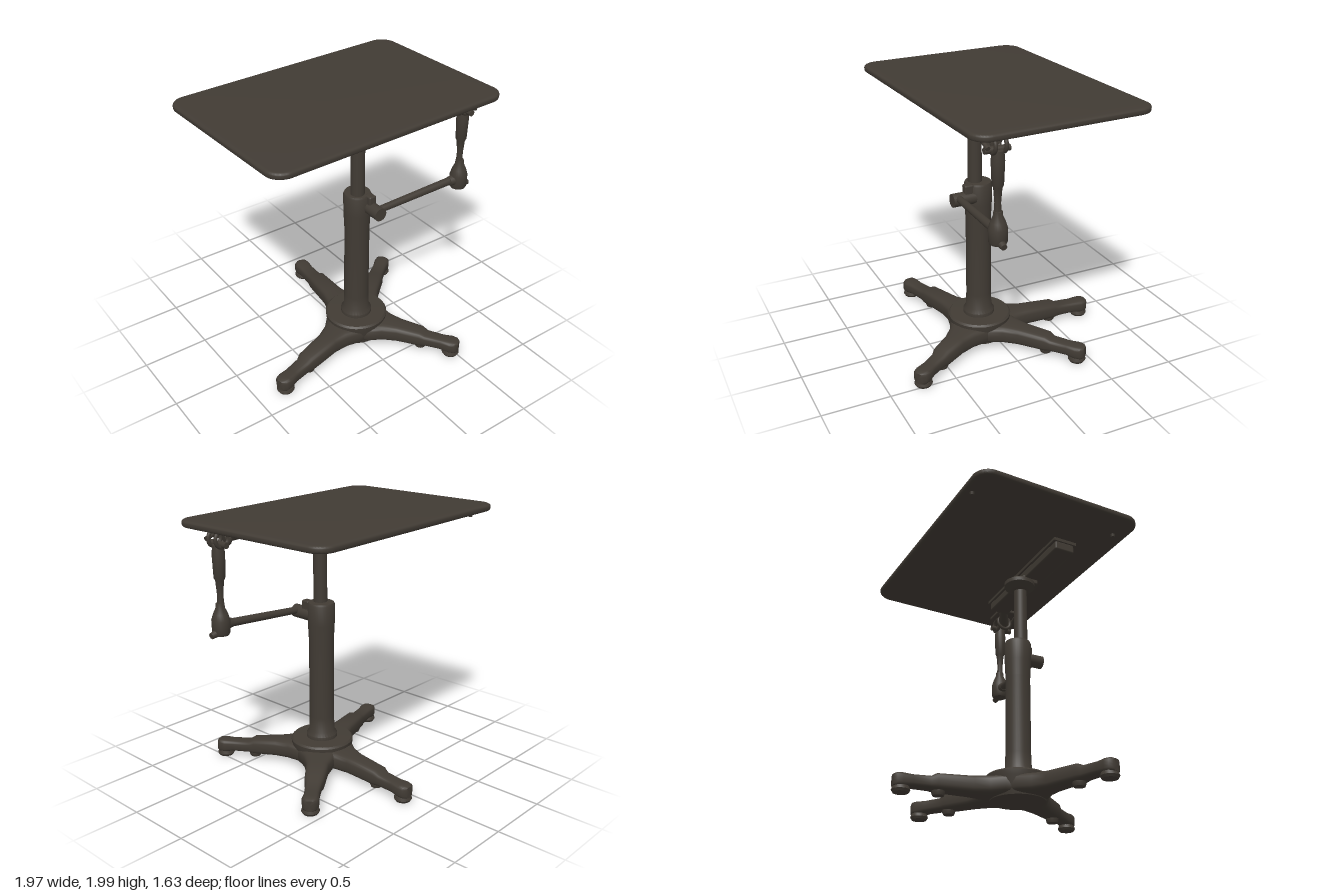
import * as THREE from 'three';
import { toCreasedNormals } from 'three/addons/utils/BufferGeometryUtils.js';
import { RoundedBoxGeometry } from 'three/addons/geometries/RoundedBoxGeometry.js';

const iron = new THREE.MeshStandardMaterial({ color: 0x413b34 });
iron.name = 'dark bronze iron';

const V = (x, y, z) => new THREE.Vector3(x, y, z);

function add(parent, name, geometry, x = 0, y = 0, z = 0) {
  const mesh = new THREE.Mesh(geometry, iron);
  mesh.name = name;
  mesh.position.set(x, y, z);
  parent.add(mesh);
  return mesh;
}

// Turned part from [radius, y] pairs, bottom to top
function turned(points, segments = 32) {
  const geo = new THREE.LatheGeometry(points.map(([r, y]) => new THREE.Vector2(r, y)), segments);
  return toCreasedNormals(geo, 0.6);
}

// Round bar between two points
function bar(parent, name, a, b, ra, rb = ra) {
  const dir = b.clone().sub(a);
  const mesh = add(parent, name, new THREE.CylinderGeometry(rb, ra, dir.length(), 20));
  mesh.position.copy(a).add(b).multiplyScalar(0.5);
  mesh.quaternion.setFromUnitVectors(V(0, 1, 0), dir.normalize());
  return mesh;
}

// Soft-cornered loft along +x; each section is [distance, width, bottom, top]
function loft(sections, n = 24) {
  const pos = [], idx = [];
  const soft = (t) => Math.sign(t) * Math.pow(Math.abs(t), 0.55);
  for (const [d, w, lo, hi] of sections) {
    for (let j = 0; j < n; j++) {
      const a = (j / n) * Math.PI * 2;
      pos.push(d, (lo + hi) / 2 + soft(Math.sin(a)) * (hi - lo) / 2, soft(Math.cos(a)) * w / 2);
    }
  }
  for (let i = 0; i < sections.length - 1; i++) {
    for (let j = 0; j < n; j++) {
      const k = (j + 1) % n, a = i * n + j, b = a + n, c = i * n + k, e = c + n;
      idx.push(a, b, c, b, e, c);
    }
  }
  [0, sections.length - 1].forEach((i) => {
    const [d, , lo, hi] = sections[i], centre = pos.length / 3;
    pos.push(d, (lo + hi) / 2, 0);
    for (let j = 0; j < n; j++) {
      const a = i * n + j, b = i * n + (j + 1) % n;
      if (i === 0) idx.push(centre, a, b); else idx.push(centre, b, a);
    }
  });
  const geo = new THREE.BufferGeometry();
  geo.setAttribute('position', new THREE.Float32BufferAttribute(pos, 3));
  geo.setIndex(idx);
  return toCreasedNormals(geo, 0.8);
}

function tabletop() {
  const w = 0.945, h = 0.64, r = 0.1, s = new THREE.Shape();
  s.moveTo(-w + r, -h);
  s.lineTo(w - r, -h);
  s.absarc(w - r, -h + r, r, -Math.PI / 2, 0);
  s.absarc(w - r, h - r, r, 0, Math.PI / 2);
  s.absarc(-w + r, h - r, r, Math.PI / 2, Math.PI);
  s.absarc(-w + r, -h + r, r, Math.PI, Math.PI * 1.5);
  const geo = new THREE.ExtrudeGeometry(s, {
    depth: 0.016, bevelThickness: 0.017, bevelSize: 0.024, bevelSegments: 4, curveSegments: 10,
  });
  geo.rotateX(-Math.PI / 2);
  return toCreasedNormals(geo, 0.7);
}

function createModel() {
  const model = new THREE.Group();
  model.name = 'adjustableTable';
  const cx = 0.04, cz = 0.095;

  // Four-legged foot: legs radiate unevenly from the column
  const base = new THREE.Group();
  base.name = 'base';
  base.position.set(cx, 0, cz);
  model.add(base);
  const feet = [[-0.78, 0.34], [0.68, -0.4], [0.1, -0.76], [0.47, 0.74]];
  for (const [fx, fz] of feet) {
    const dx = fx - cx, dz = fz - cz, len = Math.hypot(dx, dz);
    const leg = new THREE.Group();
    leg.name = 'leg';
    leg.rotation.y = Math.atan2(-dz, dx);
    base.add(leg);
    add(leg, 'legArm', loft([
      [0, 0.4, 0.05, 0.2], [0.16, 0.34, 0.05, 0.198], [0.25, 0.23, 0.05, 0.19],
      [0.36, 0.17, 0.05, 0.182], [len - 0.24, 0.145, 0.05, 0.17], [len - 0.2, 0.12, 0.055, 0.147],
      [len - 0.07, 0.11, 0.055, 0.143], [len, 0.125, 0.045, 0.147],
      [len + 0.04, 0.11, 0.045, 0.145], [len + 0.06, 0.06, 0.05, 0.135],
    ]));
    add(leg, 'footPad', turned([[0, 0.01], [0.055, 0.012], [0.066, 0.03], [0.058, 0.055], [0, 0.06]], 20), len);
    add(leg, 'legStud', turned([[0, 0.018], [0.04, 0.02], [0.048, 0.04], [0.048, 0.07]], 16), len * 0.69);
  }
  add(base, 'hub', turned([[0, 0.045], [0.2, 0.045], [0.235, 0.18], [0.238, 0.215], [0.225, 0.228], [0, 0.23]], 40));

  // Column, collar and telescoping inner post
  add(model, 'column', turned([
    [0, 0.22], [0.118, 0.225], [0.118, 0.255], [0.098, 0.285], [0.094, 0.4], [0.093, 1.0],
    [0.1, 1.14], [0.102, 1.29], [0.095, 1.305], [0, 1.306],
  ]), cx - 0.003, 0, cz + 0.005);
  add(model, 'innerPost', new THREE.CylinderGeometry(0.05, 0.052, 0.54, 28), 0.025, 1.54, 0.12);
  add(model, 'postHead', turned([
    [0.05, 1.755], [0.075, 1.765], [0.1, 1.785], [0.12, 1.8], [0.12, 1.83], [0.1, 1.845], [0, 1.846],
  ]), 0.03, 0, 0.115);
  add(model, 'headBlock', new RoundedBoxGeometry(0.14, 0.06, 0.13, 2, 0.012), 0.03, 1.855, 0.18);

  // Tabletop and its supporting rail
  add(model, 'tabletop', tabletop(), -0.005, 1.967, -0.075).rotation.y = 0.035;
  add(model, 'rail', new RoundedBoxGeometry(1.08, 0.07, 0.16, 2, 0.012), 0.03, 1.895, 0.21).rotation.y = 0.02;
  add(model, 'railFlange', new THREE.BoxGeometry(1.1, 0.025, 0.19), 0.03, 1.938, 0.21).rotation.y = 0.02;
  for (const [x, z] of [[-0.74, -0.65], [-0.74, 0.5], [0.72, 0.5]]) {
    add(model, 'tableStud', new THREE.CylinderGeometry(0.02, 0.014, 0.03, 12), x, 1.943, z);
  }

  // Swing arm clamped to the column
  const arm = new THREE.Group();
  arm.name = 'swingArm';
  model.add(arm);
  bar(arm, 'pivotKnob', V(0.08, 1.205, 0.15), V(0.08, 1.205, 0.325), 0.05);
  add(arm, 'clampLug', new RoundedBoxGeometry(0.06, 0.14, 0.07, 2, 0.012), 0.08, 1.24, 0.2);
  bar(arm, 'crossBar', V(0.08, 1.22, 0.28), V(0.78, 1.265, 0.32), 0.026, 0.03);

  // Elbow cup with thumb lever
  add(arm, 'elbowCup', turned([
    [0, 1.19], [0.055, 1.192], [0.064, 1.21], [0.066, 1.3], [0.052, 1.345], [0.034, 1.385], [0.03, 1.42], [0, 1.42],
  ], 24), 0.81, 0, 0.325);
  bar(arm, 'elbowBoss', V(0.72, 1.26, 0.32), V(0.8, 1.265, 0.325), 0.034, 0.045);
  bar(arm, 'thumbLever', V(0.8, 1.225, 0.325), V(0.9, 1.2, 0.325), 0.036, 0.022);

  // Upright rod flaring towards the top joint
  add(arm, 'upright', turned([
    [0, 1.4], [0.025, 1.4], [0.022, 1.48], [0.03, 1.58], [0.04, 1.6], [0.046, 1.76], [0.04, 1.83], [0, 1.84],
  ], 20), 0.805, 0, 0.325);

  // Yoke and ring joint under the tabletop
  const ring = new THREE.TorusGeometry(0.055, 0.014, 12, 28);
  for (const z of [0.29, 0.365]) add(arm, 'yokeRing', ring, 0.8, 1.87, z);
  add(arm, 'jointRing', ring, 0.735, 1.875, 0.33).rotation.y = Math.PI / 2;
  bar(arm, 'jointPin', V(0.8, 1.835, 0.24), V(0.8, 1.835, 0.42), 0.022);
  bar(arm, 'sideLink', V(0.68, 1.92, 0.41), V(0.84, 1.86, 0.41), 0.016);
  bar(arm, 'stubShaft', V(0.54, 1.9, 0.23), V(0.75, 1.875, 0.33), 0.03, 0.042);
  add(arm, 'topBracket', new RoundedBoxGeometry(0.2, 0.03, 0.18, 2, 0.01), 0.73, 1.937, 0.33);
  return model;
}

export { createModel };
